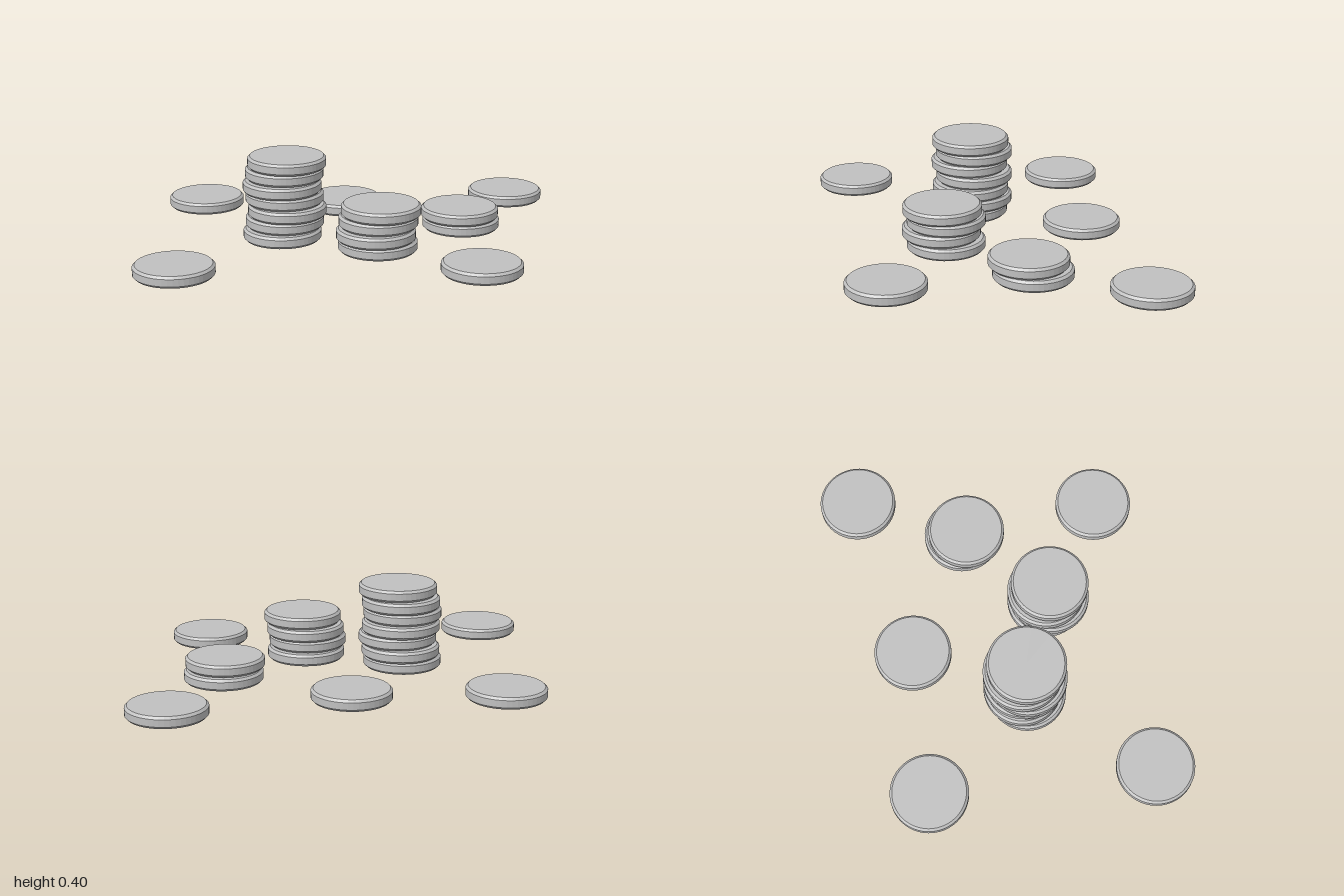
import * as THREE from 'three';

const R = 0.182, T = 0.055, BEVEL = 0.011, STEP = 0.0575;

// Coin: flat disc with chamfered rims
function coinGeometry() {
  const profile = [
    [0, 0], [R - BEVEL, 0], [R, BEVEL], [R, T - BEVEL], [R - BEVEL, T], [0, T],
  ].map(([x, y]) => new THREE.Vector2(x, y));
  return new THREE.LatheGeometry(profile, 48);
}

export function createModel() {
  const model = new THREE.Group();
  model.name = 'coins';
  const silver = new THREE.MeshStandardMaterial({ color: 0xc0c0c0 });
  silver.name = 'silver';
  silver.flatShading = true;
  const geometry = coinGeometry();

  // Each stack lists coin centres [x, z] from the bottom up
  const stacks = {
    tallStack: [[-0.325, 0], [-0.313, -0.02], [-0.302, 0], [-0.313, -0.02],
      [-0.325, 0], [-0.313, -0.02], [-0.302, 0]],
    middleStack: [[0.102, 0.203], [0.091, 0.223], [0.104, 0.203], [0.115, 0.223]],
    lowStack: [[0.528, -0.102], [0.519, -0.083]],
    backRightCoin: [[-0.681, -0.557]],
    backCoin: [[0, -0.473]],
    backLeftCoin: [[0.818, -0.556]],
    frontRightCoin: [[-0.818, 0.483]],
    frontLeftCoin: [[0.528, 0.556]],
  };

  for (const [name, coins] of Object.entries(stacks)) {
    const stack = new THREE.Group();
    stack.name = name;
    coins.forEach(([x, z], i) => {
      const coin = new THREE.Mesh(geometry, silver);
      coin.name = 'coin';
      coin.position.set(x, i * STEP, z);
      stack.add(coin);
    });
    model.add(stack);
  }
  return model;
}
